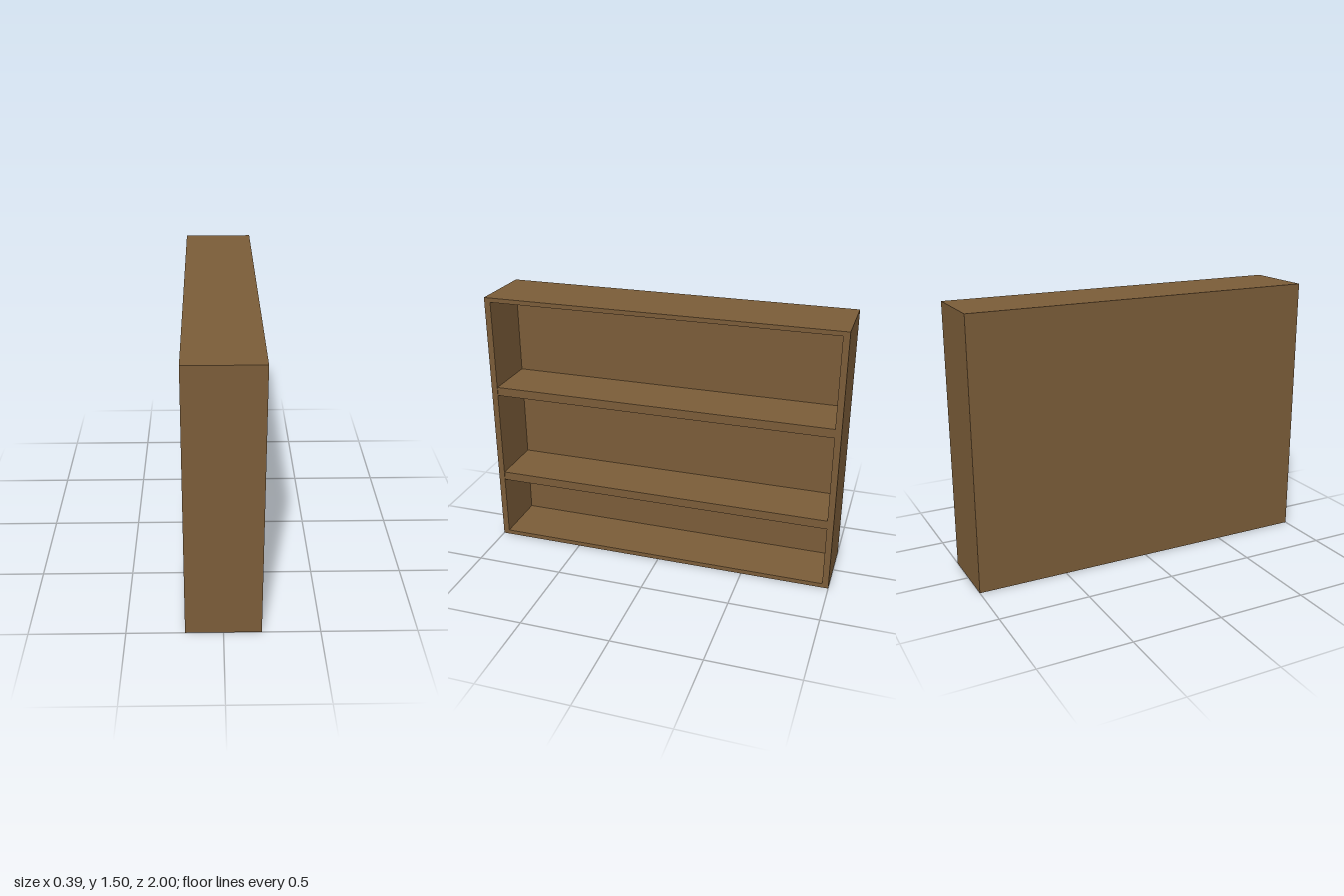
import * as THREE from 'three';

const W = 0.394, H = 1.5, L = 2;           // depth (x), height (y), length (z)
const SIDE = 0.035, BOARD = 0.025;         // end panel and top/bottom board thickness
const BACK = 0.073, SHELF = 0.05;          // back panel and shelf thickness
const RECESS = 0.004;                      // shelves sit just behind the open front

export function createModel() {
  const group = new THREE.Group();
  const wood = new THREE.MeshStandardMaterial({ color: 0x7a5c38 });

  // Box given by its minimum and maximum corners
  const board = (name, [x0, y0, z0], [x1, y1, z1]) => {
    const mesh = new THREE.Mesh(new THREE.BoxGeometry(x1 - x0, y1 - y0, z1 - z0), wood);
    mesh.position.set((x0 + x1) / 2, (y0 + y1) / 2, (z0 + z1) / 2);
    mesh.name = name;
    group.add(mesh);
  };

  const x = W / 2, z = L / 2, zi = z - SIDE, xi = -x + BACK;

  // Carcass: one extruded frame, open towards +x
  const frame = new THREE.Shape([
    new THREE.Vector2(-z, 0), new THREE.Vector2(z, 0),
    new THREE.Vector2(z, H), new THREE.Vector2(-z, H),
  ]);
  frame.holes.push(new THREE.Path([
    new THREE.Vector2(-zi, BOARD), new THREE.Vector2(-zi, H - BOARD),
    new THREE.Vector2(zi, H - BOARD), new THREE.Vector2(zi, BOARD),
  ]));
  const frameGeometry = new THREE.ExtrudeGeometry(frame, { depth: W, bevelEnabled: false });
  frameGeometry.rotateY(Math.PI / 2).translate(-x, 0, 0);
  const carcass = new THREE.Mesh(frameGeometry, wood);
  carcass.name = 'carcassFrame';
  group.add(carcass);

  // Back panel closing the frame on the -x side
  board('backPanel', [-x, BOARD, -zi], [xi, H - BOARD, zi]);

  // Two inner shelves
  [0.375, 0.92].forEach((y, i) =>
    board(`shelf${i + 1}`, [xi, y, -zi], [x - RECESS, y + SHELF, zi]));

  return group;
}
